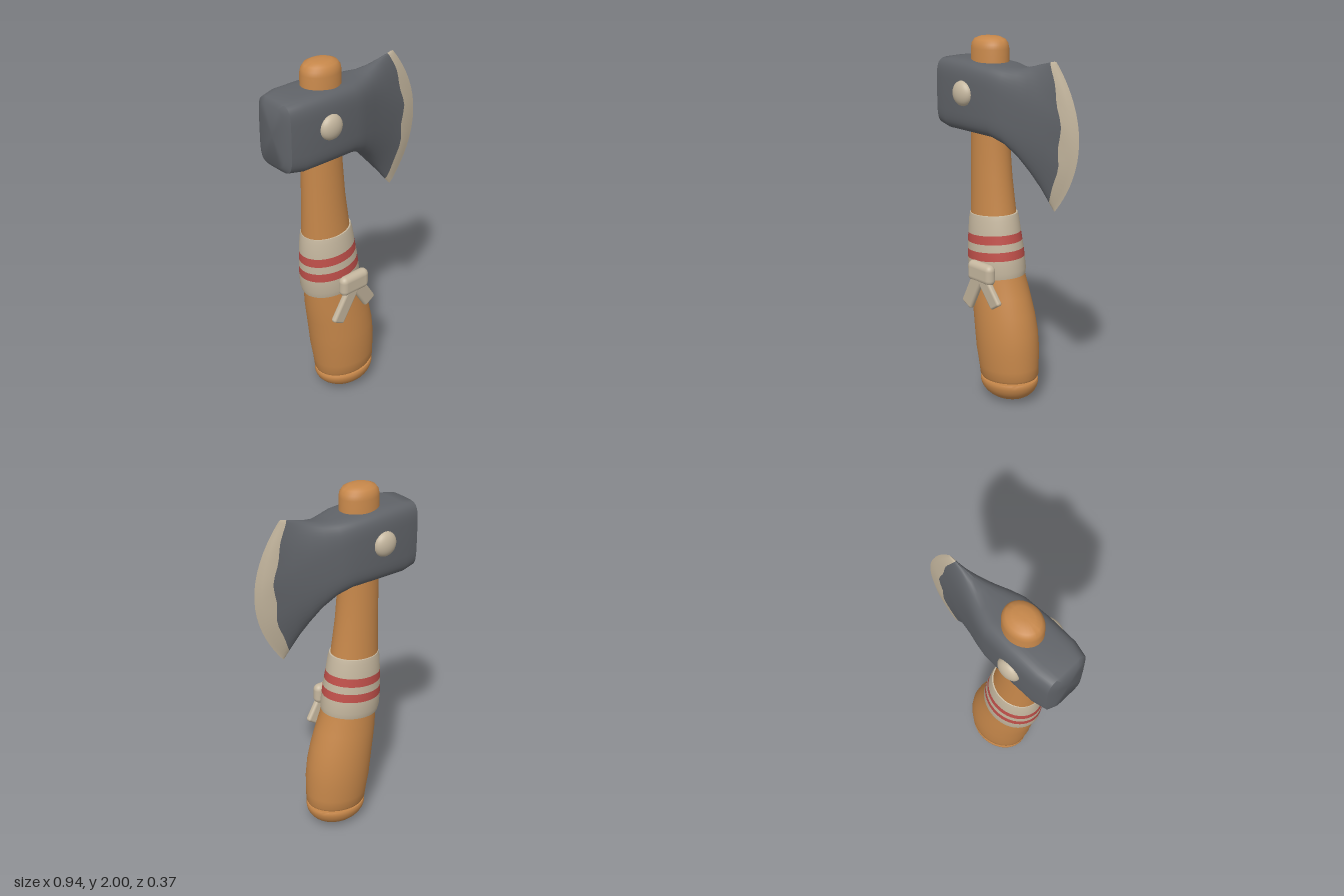
import * as THREE from 'three';
import { toCreasedNormals } from 'three/addons/utils/BufferGeometryUtils.js';
import { RoundedBoxGeometry } from 'three/addons/geometries/RoundedBoxGeometry.js';

const SEG = 48;

const flat = (name, color) => {
  const m = new THREE.MeshStandardMaterial({ color });
  m.name = name;
  return m;
};

// Skin a list of closed rings; slots[i] is the material index of the band after ring i.
function loft(rings, slots = []) {
  const pos = rings.flat(2), index = [], geo = new THREE.BufferGeometry();
  const cap = (r, flip) => {
    const c = pos.length / 3, mid = [0, 0, 0];
    rings[r].forEach(p => p.forEach((v, k) => { mid[k] += v / SEG; }));
    pos.push(...mid);
    for (let j = 0; j < SEG; j++) {
      const a = r * SEG + j, b = r * SEG + (j + 1) % SEG;
      index.push(c, flip ? b : a, flip ? a : b);
    }
  };
  const group = (start, slot) => geo.addGroup(start, index.length - start, slot);
  cap(0, true);
  group(0, slots[0] || 0);
  for (let i = 0; i < rings.length - 1; i++) {
    const start = index.length;
    for (let j = 0; j < SEG; j++) {
      const k = (j + 1) % SEG;
      const a = i * SEG + j, b = i * SEG + k, c = b + SEG, d = a + SEG;
      index.push(a, b, c, a, c, d);
    }
    group(start, slots[i] || 0);
  }
  const start = index.length;
  cap(rings.length - 1, false);
  group(start, slots[rings.length - 2] || 0);
  geo.setAttribute('position', new THREE.Float32BufferAttribute(pos, 3));
  geo.setIndex(index);
  return toCreasedNormals(geo, 0.75);
}

const angles = Array.from({ length: SEG }, (_, j) => j / SEG * Math.PI * 2);

// Tilted oval ring around the handle: height, centre x, half width, half depth, slope
const oval = ([y, cx, hx, hz, slope = 0]) => angles.map(a =>
  [cx + hx * Math.cos(a), y + slope * hx * Math.cos(a), -hz * Math.sin(a)]);

// Section of the axe head: x, bottom, top, half depth, forward bulge, roundness, waviness
const spow = (v, p) => Math.sign(v) * Math.pow(Math.abs(v), p);
const section = ([x, y0, y1, hz, bulge, p, wave = 0]) => angles.map(a => {
  const v = spow(Math.cos(a), p);
  return [
    x + bulge * (1 - v * v) + wave * Math.sin(v * 10) * (1 - v * v),
    (y0 + y1) / 2 + v * (y1 - y0) / 2,
    hz * spow(Math.sin(a), p),
  ];
});

export function createModel() {
  const wood = flat('wood', 0xc6874a);
  const steel = flat('steel', 0x606368);
  const bone = flat('bone', 0xc4b69e);
  const red = flat('red', 0xc0504a);

  const model = new THREE.Group();
  model.name = 'axe';
  const add = (name, geo, mat) => {
    const mesh = new THREE.Mesh(geo, mat);
    mesh.name = name;
    model.add(mesh);
    return mesh;
  };

  // Curved handle
  add('handle', loft([
    [0.132, -0.022, 0.172, 0.138, 0.07],
    [0.145, -0.022, 0.178, 0.145, 0.07],
    [0.2, -0.026, 0.181, 0.15, 0.06],
    [0.3, -0.035, 0.19, 0.158, 0.05],
    [0.4, -0.046, 0.19, 0.158, 0.05],
    [0.5, -0.064, 0.185, 0.153, 0.06],
    [0.6, -0.087, 0.175, 0.145, 0.08],
    [0.72, -0.112, 0.158, 0.133, 0.1],
    [0.9, -0.135, 0.146, 0.122, 0.1],
    [1.07, -0.147, 0.136, 0.11, 0.06],
    [1.25, -0.158, 0.122, 0.101, 0.03],
    [1.45, -0.166, 0.114, 0.095],
    [1.7, -0.166, 0.11, 0.091],
    [1.94, -0.165, 0.11, 0.09],
    [1.965, -0.165, 0.105, 0.085],
    [1.985, -0.165, 0.09, 0.072],
    [1.997, -0.165, 0.06, 0.048],
    [2.0, -0.165, 0.02, 0.016],
  ].map(oval)), wood);

  // Domed butt, separated from the handle by a thin groove
  const dome = [];
  for (let i = 0; i <= 10; i++) {
    const t = (0.04 + 0.96 * i / 10) * Math.PI / 2, r = Math.pow(Math.sin(t), 0.9);
    dome.push([0.113 * (1 - Math.cos(t)), -0.022, 0.177 * r, 0.145 * r, 0.05 * (1 - Math.cos(t))]);
  }
  dome.push([0.122, -0.022, 0.173, 0.141, 0.05]);
  add('buttCap', loft(dome.map(oval)), wood);

  // Axe head with a pale, wavy-bordered cutting edge
  add('axeHead', loft([
    [-0.47, 1.535, 1.845, 0.09, 0, 0.4],
    [-0.45, 1.507, 1.868, 0.125, 0, 0.4],
    [-0.37, 1.495, 1.88, 0.143, 0, 0.4],
    [-0.2, 1.495, 1.88, 0.147, 0, 0.42],
    [-0.05, 1.492, 1.872, 0.142, 0, 0.45],
    [0.03, 1.46, 1.865, 0.122, 0, 0.52],
    [0.1, 1.4, 1.868, 0.095, 0.01, 0.62],
    [0.16, 1.33, 1.882, 0.072, 0.03, 0.75],
    [0.22, 1.26, 1.9, 0.048, 0.06, 0.9],
    [0.275, 1.195, 1.914, 0.029, 0.095, 0.95, 0.01],
    [0.3, 1.165, 1.92, 0.02, 0.14, 1],
    [0.312, 1.155, 1.92, 0.007, 0.155, 1],
  ].map(section), [0, 0, 0, 0, 0, 0, 0, 0, 0, 1, 1]), [steel, bone]);

  // Rivet on each cheek
  for (const side of [1, -1]) {
    const rivet = add(side > 0 ? 'frontRivet' : 'backRivet', new THREE.SphereGeometry(1, 28, 18), bone);
    rivet.scale.set(0.067, 0.067, 0.04);
    rivet.position.set(-0.222, 1.71, side * 0.143);
  }

  // Cloth wrap with two red stripes
  add('gripWrap', loft([
    [0.715, -0.115, 0.15, 0.12, 0.12],
    [0.708, -0.115, 0.166, 0.136, 0.12],
    [0.74, -0.118, 0.172, 0.143, 0.12],
    [0.812, -0.126, 0.17, 0.141, 0.1],
    [0.86, -0.13, 0.167, 0.138, 0.1],
    [0.902, -0.134, 0.163, 0.134, 0.1],
    [0.95, -0.138, 0.158, 0.13, 0.1],
    [1.03, -0.142, 0.149, 0.122, 0.08],
    [1.057, -0.143, 0.142, 0.116, 0.07],
    [1.062, -0.145, 0.12, 0.1, 0.07],
  ].map(oval), [0, 0, 0, 1, 0, 1, 0, 0, 0]), [bone, red]);

  // Knot and its two loose ends
  const knot = add('knot', new RoundedBoxGeometry(0.185, 0.115, 0.065, 5, 0.032), bone);
  knot.geometry.scale(1, 1, 0.95);
  knot.position.set(-0.08, 0.758, 0.15);
  const tail = (name, from, to) => {
    const a = new THREE.Vector3(...from), b = new THREE.Vector3(...to);
    const mesh = add(name, new RoundedBoxGeometry(0.08, a.distanceTo(b), 0.034, 4, 0.014), bone);
    mesh.position.copy(a).add(b).multiplyScalar(0.5);
    mesh.quaternion.setFromUnitVectors(new THREE.Vector3(0, 1, 0), a.sub(b).normalize());
  };
  tail('rightTail', [-0.09, 0.74, 0.16], [-0.195, 0.545, 0.149]);
  tail('leftTail', [-0.065, 0.74, 0.16], [0.035, 0.588, 0.147]);

  return model;
}
